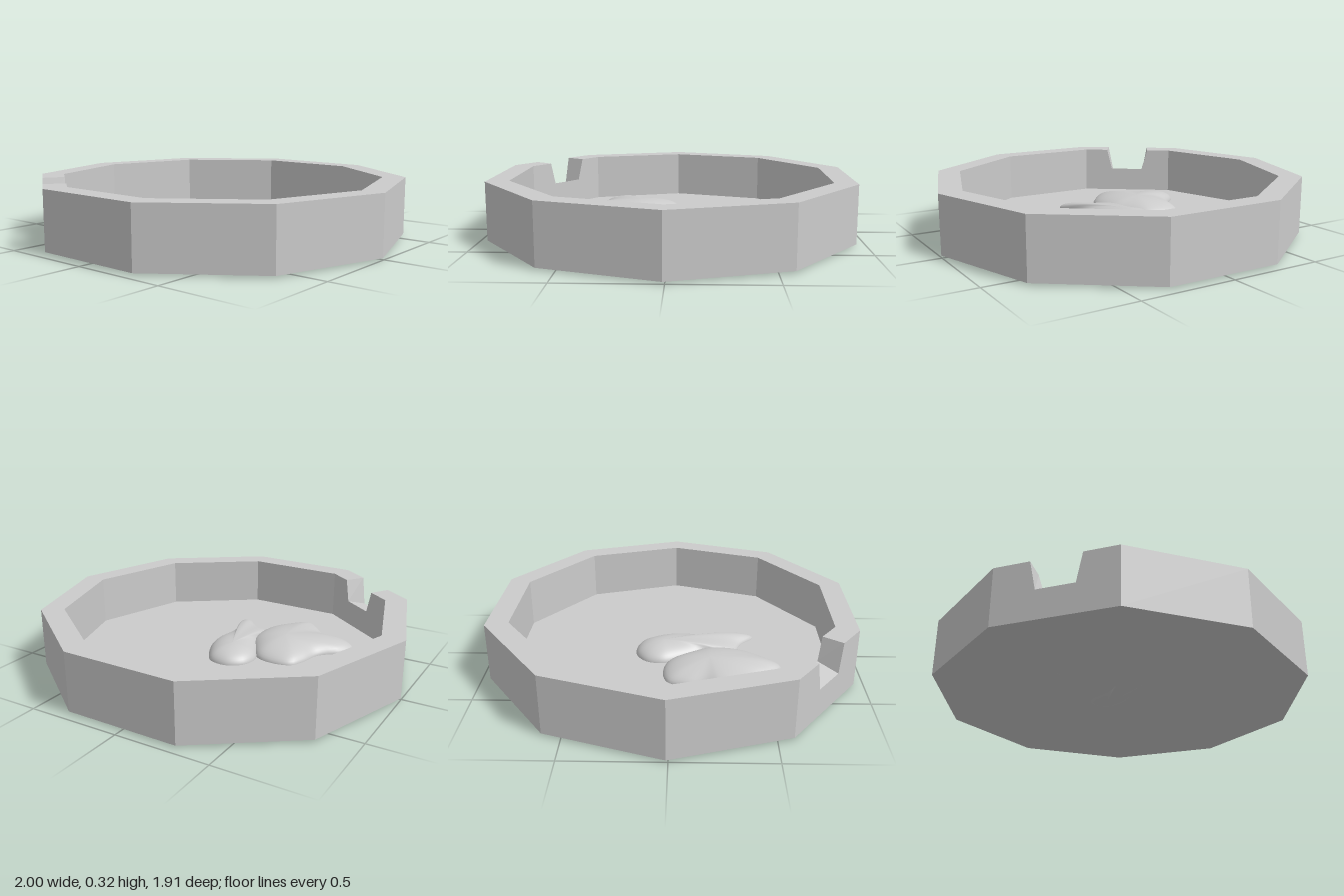
import * as THREE from 'three';

const SIDES = 10, OUTER = 1, INNER = 0.877;
const BASE = 0.01, FLOOR = 0.056, RIM = 0.32;
const NOTCHED_SIDE = 3;

const corner = (k, r, y) => {
  const a = (k * 36 + 0.6) * Math.PI / 180;
  return new THREE.Vector3(Math.cos(a) * r, y, Math.sin(a) * r);
};

// Decagonal dish: each wall is a profile of (position along side, height) lofted from outside to inside
function dishGeometry() {
  const pos = [];
  const tri = (a, b, c) => [a, b, c].forEach(p => pos.push(p.x, p.y, p.z));
  const notchOuter = [[0.715, RIM], [0.665, 0.165], [0.35, 0.165], [0.30, RIM]];
  const notchInner = [[0.744, RIM], [0.686, 0.195], [0.325, 0.195], [0.256, RIM]];

  for (let k = 0; k < SIDES; k++) {
    const wall = (r, bottom, notch) => {
      const flat = [[0, bottom], [1, bottom], [1, RIM], ...notch, [0, RIM]];
      const points = flat.map(([t, y]) => corner(k + 1, r, y).lerp(corner(k, r, y), t));
      const faces = THREE.ShapeUtils.triangulateShape(flat.map(p => new THREE.Vector2(...p)), []);
      return { points, faces };
    };
    const cut = k === NOTCHED_SIDE;
    const out = wall(OUTER, BASE, cut ? notchOuter : []);
    const inn = wall(INNER, FLOOR, cut ? notchInner : []);
    out.faces.forEach(([a, b, c]) => tri(out.points[a], out.points[b], out.points[c]));
    inn.faces.forEach(([a, b, c]) => tri(inn.points[c], inn.points[b], inn.points[a]));
    // rim and notch faces
    for (let i = 2; i < out.points.length - 1; i++) {
      tri(out.points[i], inn.points[i], inn.points[i + 1]);
      tri(out.points[i], inn.points[i + 1], out.points[i + 1]);
    }
    // floor and underside
    tri(new THREE.Vector3(0, FLOOR, 0), corner(k + 1, INNER, FLOOR), corner(k, INNER, FLOOR));
    tri(new THREE.Vector3(0, BASE, 0), corner(k, OUTER, BASE), corner(k + 1, OUTER, BASE));
  }
  const geo = new THREE.BufferGeometry();
  geo.setAttribute('position', new THREE.Float32BufferAttribute(pos, 3));
  geo.computeVertexNormals();
  return geo;
}

// Soft mound: rings shrinking from an irregular outline to a peak above and a shallow point below
function moundGeometry(outline, [cx, cz], height) {
  const curve = new THREE.CatmullRomCurve3(outline.map(([x, z]) => new THREE.Vector3(x, 0, z)), true);
  const n = 72, rings = 12, pos = [], index = [];
  const edge = curve.getPoints(n).slice(0, n);
  for (let j = 0; j <= 2 * rings; j++) {
    const a = (j / rings - 1) * Math.PI / 2;
    const r = Math.cos(a), s = Math.sin(a);
    const y = FLOOR - 0.004 + s * (s > 0 ? height : FLOOR - 0.004);
    for (const p of edge) pos.push(cx + (p.x - cx) * r, y, cz + (p.z - cz) * r);
  }
  for (let j = 0; j < 2 * rings; j++) {
    for (let i = 0; i < n; i++) {
      const a = j * n + i, b = j * n + (i + 1) % n;
      index.push(a, a + n, b, b, a + n, b + n);
    }
  }
  const geo = new THREE.BufferGeometry();
  geo.setAttribute('position', new THREE.Float32BufferAttribute(pos, 3));
  geo.setIndex(index);
  geo.computeVertexNormals();
  return geo;
}

export function createModel() {
  const group = new THREE.Group();
  const add = (name, geometry, options = {}) => {
    const mesh = new THREE.Mesh(geometry, new THREE.MeshStandardMaterial({ color: 0xcccccc, ...options }));
    mesh.name = name;
    group.add(mesh);
  };

  add('dish', dishGeometry(), { flatShading: true });

  add('largeAshMound', moundGeometry([
    [-0.4, -0.02], [-0.3, -0.045], [-0.2, -0.02], [-0.11, 0.1], [-0.06, 0.2], [-0.075, 0.38],
    [-0.16, 0.51], [-0.24, 0.58], [-0.31, 0.53], [-0.4, 0.44], [-0.54, 0.42], [-0.6, 0.36],
    [-0.57, 0.27], [-0.47, 0.17], [-0.44, 0.06],
  ], [-0.26, 0.2], 0.08), { side: THREE.DoubleSide });

  add('smallAshMound', moundGeometry([
    [-0.2, -0.05], [-0.18, -0.14], [-0.1, -0.195], [0, -0.18], [0.06, -0.1], [0.1, 0],
    [0.11, 0.1], [0.09, 0.25], [0.135, 0.42], [0.11, 0.455], [0.02, 0.38], [-0.08, 0.33],
    [-0.1, 0.18], [-0.16, 0.05],
  ], [-0.06, -0.05], 0.075), { side: THREE.DoubleSide });

  return group;
}
